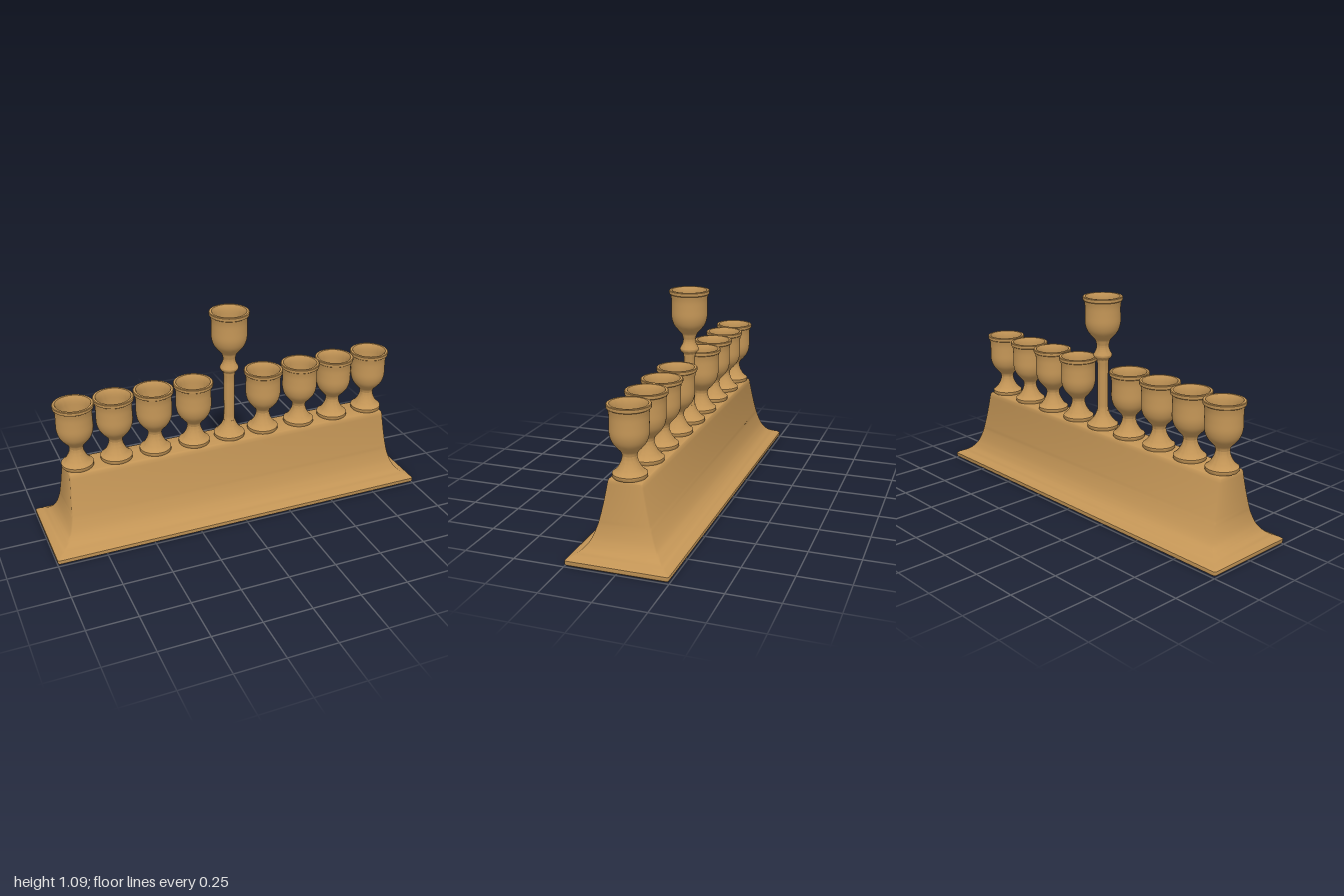
import * as THREE from 'three';
import { toCreasedNormals } from 'three/addons/utils/BufferGeometryUtils.js';

// Smooth a radius/height profile while keeping its end points
function smoothProfile(points, divisions) {
  const curve = new THREE.SplineCurve(points.map(([r, y]) => new THREE.Vector2(r, y)));
  return curve.getPoints(divisions);
}

// Stack rectangular sections [halfX, halfZ, y] with tiny corner bevels
function loftBase(sections) {
  const bevel = 0.006, n = 8, positions = [], index = [];
  for (const [x, z, y] of sections) {
    const a = x - bevel, b = z - bevel;
    for (const [px, pz] of [[a, z], [x, b], [x, -b], [a, -z], [-a, -z], [-x, -b], [-x, b], [-a, z]])
      positions.push(px, y, pz);
  }
  for (let i = 0; i < sections.length - 1; i++)
    for (let j = 0; j < n; j++) {
      const a = i * n + j, b = i * n + (j + 1) % n;
      index.push(a, b, b + n, a, b + n, a + n);
    }
  const top = (sections.length - 1) * n;
  for (let j = 1; j < n - 1; j++) {
    index.push(0, j + 1, j);
    index.push(top, top + j, top + j + 1);
  }
  const geometry = new THREE.BufferGeometry();
  geometry.setAttribute('position', new THREE.Float32BufferAttribute(positions, 3));
  geometry.setIndex(index);
  return toCreasedNormals(geometry, 0.85);
}

// Turned part with crisp steps and smooth curves
function turned(points) {
  return toCreasedNormals(new THREE.LatheGeometry(points, 48), 0.7);
}

export function createModel() {
  const model = new THREE.Group();
  model.name = 'candelabrum';
  const brass = new THREE.MeshStandardMaterial({ color: 0xc39556 });
  brass.name = 'warm brass';

  function add(parent, name, geometry, y = 0) {
    const mesh = new THREE.Mesh(geometry, brass);
    mesh.name = name;
    mesh.position.y = y;
    parent.add(mesh);
    return mesh;
  }

  // Flared base with a thin plinth lip
  const flareX = smoothProfile([[0.992, 0.037], [0.945, 0.06], [0.912, 0.1], [0.893, 0.16],
    [0.885, 0.22], [0.878, 0.3], [0.872, 0.385]], 24);
  const flareZ = new THREE.SplineCurve([[0.24, 0.037], [0.195, 0.06], [0.16, 0.1], [0.135, 0.16],
    [0.118, 0.22], [0.1, 0.3], [0.084, 0.385]].map(([r, y]) => new THREE.Vector2(r, y))).getPoints(24);
  const sections = [[0.985, 0.232, 0], [0.997, 0.245, 0.008], [1, 0.248, 0.014], [1, 0.248, 0.03]];
  flareX.forEach((p, i) => sections.push([p.x, flareZ[i].x, p.y]));
  sections.push([0.868, 0.08, 0.393], [0.862, 0.075, 0.396]);
  add(model, 'base', loftBase(sections));

  // Cup: heights measured from its rim at y = 0
  const bowl = smoothProfile([[0.034, -0.24], [0.04, -0.222], [0.06, -0.2], [0.08, -0.172],
    [0.09, -0.135], [0.09, -0.09], [0.09, -0.05], [0.094, -0.022]], 24);
  const lip = [[0.1, -0.018], [0.101, -0.012], [0.101, -0.003], [0.098, 0], [0.087, 0], [0.083, -0.006]]
    .map(([r, y]) => new THREE.Vector2(r, y));
  const hollow = smoothProfile([[0.078, -0.03], [0.076, -0.1], [0.07, -0.145], [0.05, -0.168], [0, -0.172]], 14);
  hollow[hollow.length - 1].x = 0;
  const cupGeometry = turned([...bowl, ...lip, ...hollow]);

  // Foot shared by every holder, y = 0 on the base top
  const footRim = [[0, 0], [0.077, 0], [0.08, 0.004], [0.08, 0.019], [0.074, 0.024]]
    .map(([r, y]) => new THREE.Vector2(r, y));
  const shortFoot = turned([...footRim, ...smoothProfile(
    [[0.07, 0.026], [0.056, 0.042], [0.043, 0.065], [0.036, 0.085], [0.034, 0.101]], 12)]);
  const tallStem = turned([...footRim, ...smoothProfile(
    [[0.07, 0.026], [0.055, 0.042], [0.041, 0.063], [0.031, 0.09], [0.028, 0.12], [0.028, 0.345]], 20),
    ...smoothProfile([[0.03, 0.352], [0.032, 0.365], [0.043, 0.375], [0.048, 0.388], [0.041, 0.402],
      [0.034, 0.418], [0.031, 0.436], [0.034, 0.45]], 24)]);

  function holder(name, x, footGeometry, rimY) {
    const group = new THREE.Group();
    group.name = name;
    group.position.x = x;
    add(group, 'stem', footGeometry, 0.395);
    add(group, 'cup', cupGeometry, rimY);
    model.add(group);
  }

  // Eight short holders in a row and one raised in the middle
  [-0.81, -0.61, -0.405, -0.195, 0.19, 0.4, 0.6, 0.81]
    .forEach((x, i) => holder(`candleHolder${i + 1}`, x, shortFoot, 0.736));
  holder('centreHolder', 0, tallStem, 1.085);

  return model;
}
